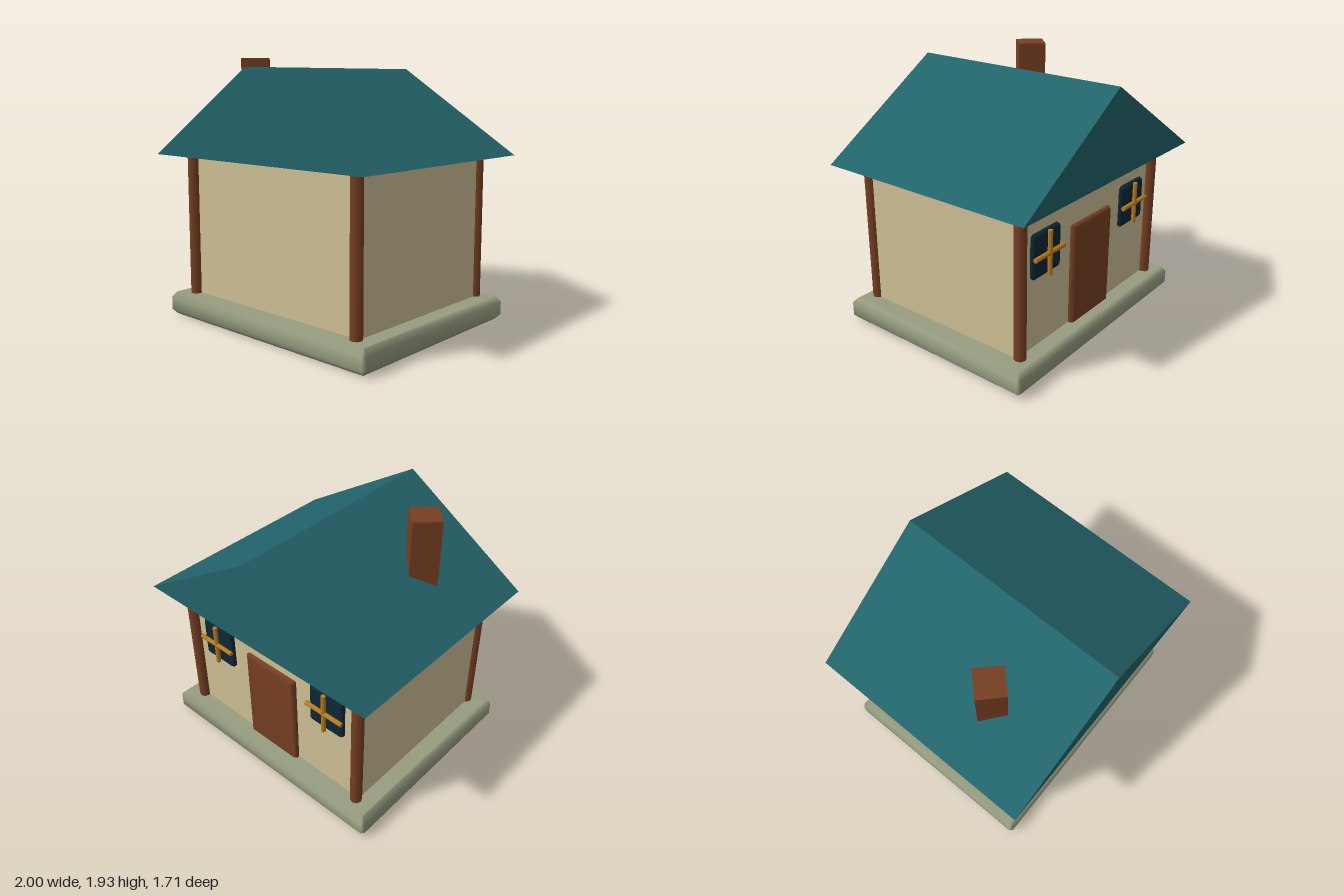
import * as THREE from 'three';
import { mergeVertices } from 'three/addons/utils/BufferGeometryUtils.js';

const mat = (name, color) => {
  const m = new THREE.MeshStandardMaterial({ color });
  m.name = name;
  return m;
};

// Box centred on the origin with single-step bevels and softened normals
function bevelBox(w, h, d, bevel, corner) {
  const x = w / 2, y = h / 2, c = corner;
  const shape = new THREE.Shape([
    [x - c, -y], [x, -y + c], [x, y - c], [x - c, y],
    [-x + c, y], [-x, y - c], [-x, -y + c], [-x + c, -y],
  ].map(([a, b]) => new THREE.Vector2(a, b)));
  let g = new THREE.ExtrudeGeometry(shape, {
    depth: d - 2 * bevel, bevelEnabled: true, bevelSegments: 1,
    bevelThickness: bevel, bevelSize: bevel, bevelOffset: -bevel,
  });
  g.translate(0, 0, -(d - 2 * bevel) / 2);
  g.deleteAttribute('uv');
  g.deleteAttribute('normal');
  g = mergeVertices(g, 1e-4);
  g.computeVertexNormals();
  return g;
}

export function createModel() {
  const stone = mat('stone', 0x979d80);
  const plaster = mat('plaster', 0xcfc096);
  const wood = mat('wood', 0x773f22);
  const teal = mat('roofTeal', 0x22636a);
  const glass = mat('darkGlass', 0x0e2635);
  const brass = mat('windowBarGold', 0xb97c22);

  const house = new THREE.Group();
  house.name = 'house';
  const add = (name, geometry, material, x, y, z, parent = house) => {
    const mesh = new THREE.Mesh(geometry, material);
    mesh.name = name;
    mesh.position.set(x, y, z);
    parent.add(mesh);
    return mesh;
  };

  // Foundation slab
  const slab = bevelBox(1.94, 1.6, 0.175, 0.04, 0.02);
  slab.rotateX(-Math.PI / 2);
  add('foundation', slab, stone, 0, 0.0875, 0);

  // Walls
  add('walls', new THREE.BoxGeometry(1.63, 1.08, 1.32), plaster, 0, 0.7, 0);

  // Corner posts
  const post = new THREE.CylinderGeometry(0.043, 0.043, 1.08, 8);
  for (const sx of [-1, 1]) {
    for (const sz of [-1, 1]) add('cornerPost', post, wood, sx * 0.802, 0.7, sz * 0.676);
  }

  // Gable roof as a triangular prism
  const gable = new THREE.Shape();
  gable.moveTo(-1, 0);
  gable.lineTo(1, 0);
  gable.lineTo(0, 0.63);
  gable.closePath();
  const roof = new THREE.ExtrudeGeometry(gable, { depth: 1.71, bevelEnabled: false });
  add('roof', roof, teal, 0, 1.23, -0.855);

  // Square chimney turned on its corner
  const chimney = new THREE.CylinderGeometry(0.142, 0.142, 0.635, 4).toNonIndexed();
  chimney.computeVertexNormals();
  add('chimney', chimney, wood, -0.54, 1.6175, 0.28);

  // Door on the back wall
  add('door', bevelBox(0.47, 0.78, 0.08, 0.02, 0.008), wood, 0, 0.53, -0.655);

  // Windows with crossed bars, either side of the door
  const pane = bevelBox(0.3, 0.32, 0.08, 0.015, 0.02);
  const bar = new THREE.CylinderGeometry(0.017, 0.017, 0.32, 8);
  for (const side of [-1, 1]) {
    const win = new THREE.Group();
    win.name = side > 0 ? 'leftWindow' : 'rightWindow';
    win.position.set(side * 0.53, 0.85, -0.65);
    house.add(win);
    add('windowPane', pane, glass, 0, 0, 0, win);
    add('verticalBar', bar, brass, 0, 0, -0.058, win);
    add('horizontalBar', bar, brass, 0, 0, -0.058, win).rotation.z = Math.PI / 2;
  }

  return house;
}
